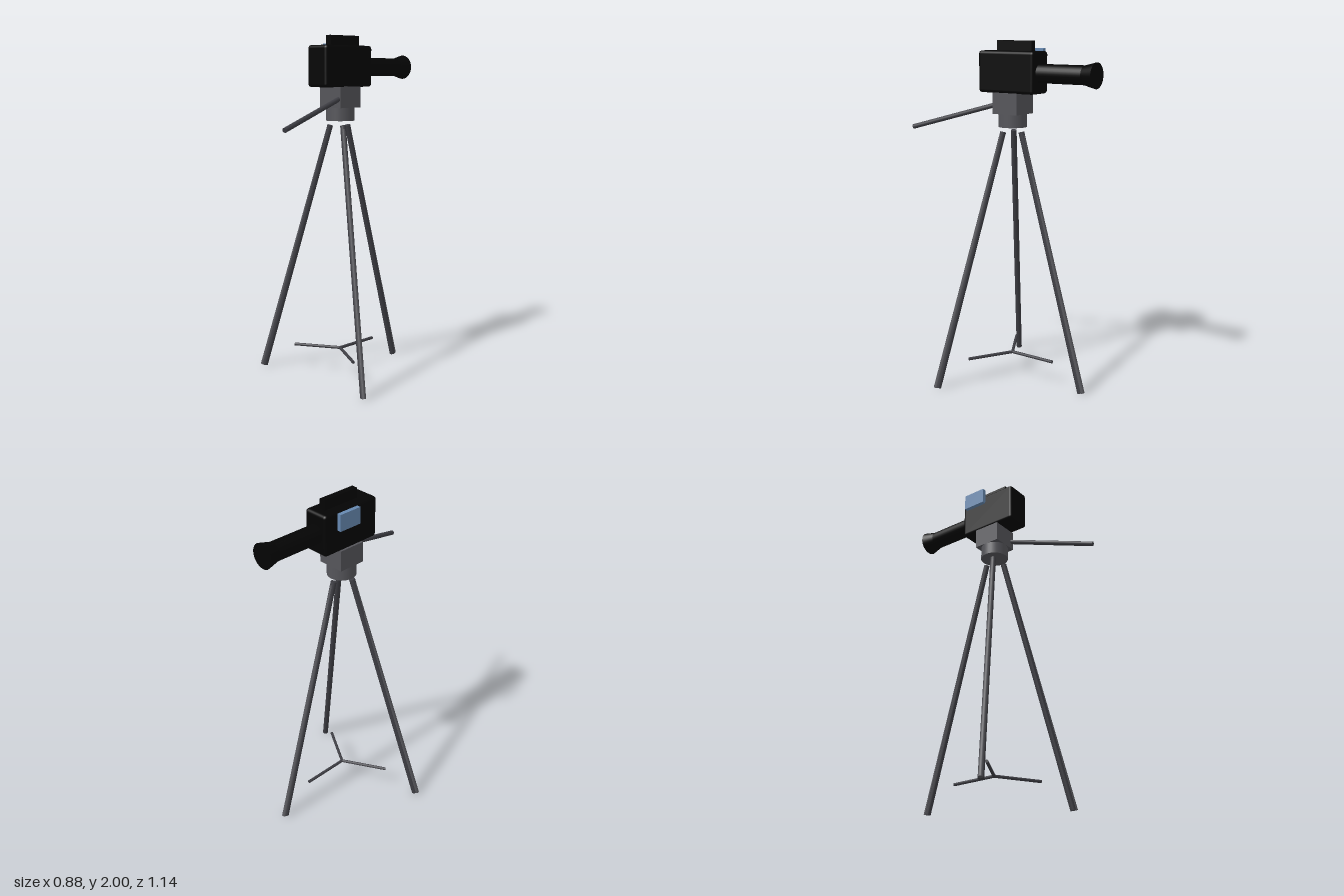
import * as THREE from 'three';
import { RoundedBoxGeometry } from 'three/addons/geometries/RoundedBoxGeometry.js';

const mat = (name, color) => {
  const m = new THREE.MeshStandardMaterial({ color });
  m.name = name;
  return m;
};

export function createModel() {
  const black = mat('camera black', 0x040404);
  const grey = mat('head grey', 0x55555a);
  const dark = mat('leg dark grey', 0x3e3e44);
  const blue = mat('screen blue', 0x6688b0);

  const group = new THREE.Group();
  group.name = 'cameraOnTripod';
  const CZ = -0.027; // tripod axis

  const add = (name, geo, material, x, y, z) => {
    const mesh = new THREE.Mesh(geo, material);
    mesh.name = name;
    mesh.position.set(x, y, z);
    group.add(mesh);
    return mesh;
  };

  // Round rod between two points
  const rod = (name, material, a, b, radius) => {
    const dir = b.clone().sub(a);
    const mid = a.clone().add(b).multiplyScalar(0.5);
    const mesh = add(name, new THREE.CylinderGeometry(radius, radius, dir.length(), 12), material, mid.x, mid.y, mid.z);
    mesh.quaternion.setFromUnitVectors(new THREE.Vector3(0, 1, 0), dir.normalize());
  };

  // Three legs, one to the back: an inner tube with a slimmer tube along its
  // outer side that spreads slightly towards the foot; low spreader arms
  for (let i = 0; i < 3; i++) {
    const a = Math.PI + (i * Math.PI * 2) / 3;
    const at = (r, y) => new THREE.Vector3(Math.sin(a) * r, y, CZ + Math.cos(a) * r);
    rod('legInnerTube', dark, at(0.479, 0.005), at(0.06, 1.488), 0.017);
    rod('legOuterTube', grey, at(0.494, 0.007), at(0.064, 1.488), 0.013);
    rod('spreaderArm', dark, at(0, 0.15), at(0.285, 0.15), 0.009);
  }

  // Pan base, tilt head and pan handle
  add('panBase', new THREE.CylinderGeometry(0.082, 0.082, 0.085, 32), grey, 0, 1.5575, CZ);
  add('tiltHead', new THREE.BoxGeometry(0.164, 0.12, 0.165), grey, 0, 1.65, CZ);
  rod('panHandle', dark, new THREE.Vector3(0.06, 1.646, 0.03), new THREE.Vector3(0.18, 1.493, 0.567), 0.014);

  // Camera body and top grip
  add('cameraBody', new RoundedBoxGeometry(0.155, 0.235, 0.377, 3, 0.018), black, 0, 1.8255, -0.0275);
  add('topGrip', new THREE.BoxGeometry(0.036, 0.08, 0.235), black, 0, 1.96, -0.0475);

  // Barrel with a flared end, pointing to the back
  const barrel = add('barrel', new THREE.CylinderGeometry(0.053, 0.053, 0.32, 32), black, 0, 1.822, -0.345);
  barrel.rotation.x = -Math.PI / 2;
  const flare = add('barrelFlare', new THREE.CylinderGeometry(0.071, 0.053, 0.072, 32), black, 0, 1.822, -0.537);
  flare.rotation.x = -Math.PI / 2;

  // Side screen
  add('sideScreen', new THREE.BoxGeometry(0.024, 0.095, 0.142), blue, -0.12, 1.908, -0.088);

  return group;
}
